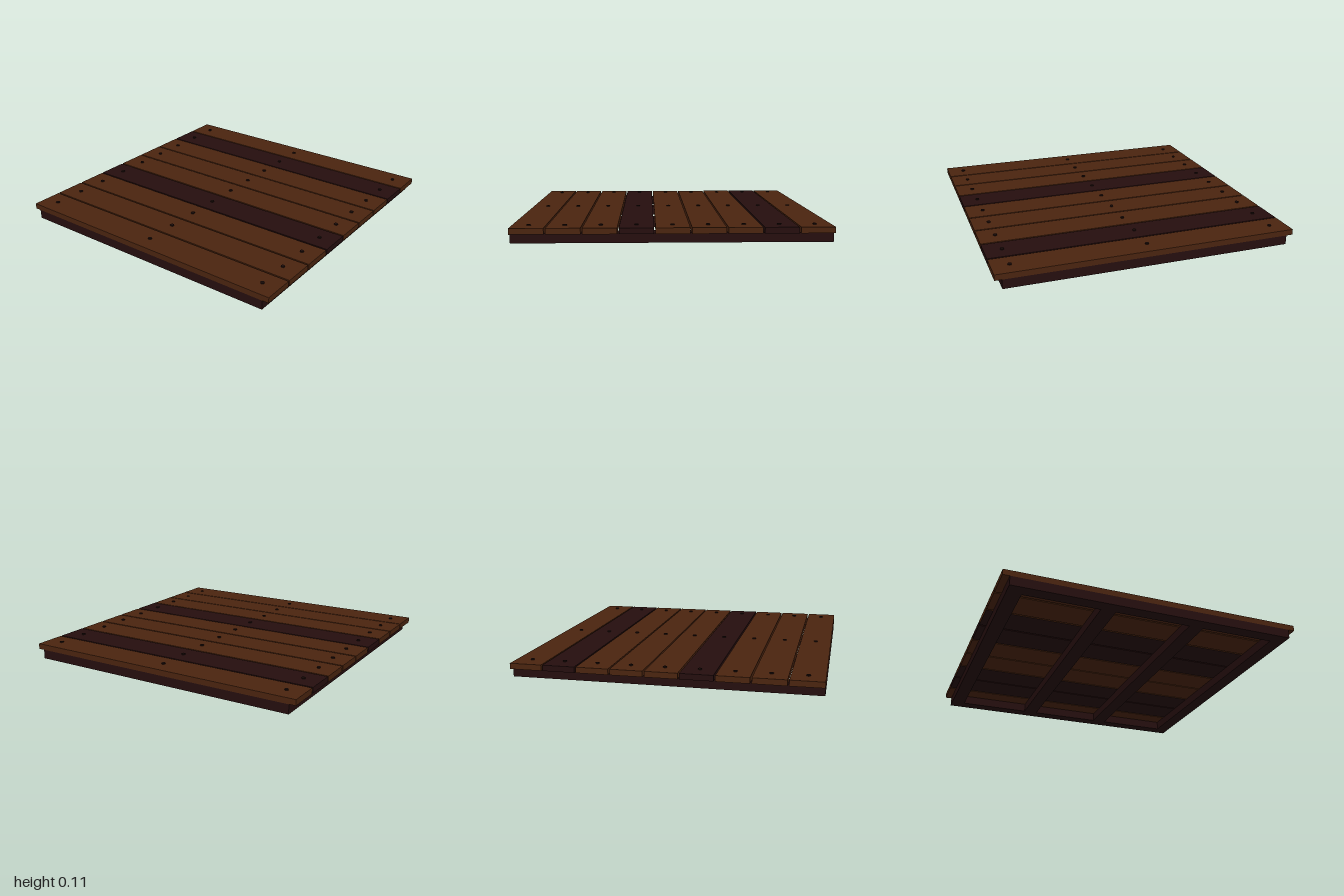
import * as THREE from 'three';

const brownWood = new THREE.MeshStandardMaterial({ color: 0x4a240f });
brownWood.name = 'brown wood';
const darkWood = new THREE.MeshStandardMaterial({ color: 0x250e0e });
darkWood.name = 'dark wood';
const screwMetal = new THREE.MeshStandardMaterial({ color: 0x1c0d0a });
screwMetal.name = 'dark screw';

const FRAME_H = 0.062, TOP = 0.1;
const PLANKS = 9, PITCH = 0.2225, PLANK_W = 0.212;

// box given by its limits along each axis
function box(name, material, [x0, x1], [y0, y1], [z0, z1]) {
  const mesh = new THREE.Mesh(new THREE.BoxGeometry(x1 - x0, y1 - y0, z1 - z0), material);
  mesh.position.set((x0 + x1) / 2, (y0 + y1) / 2, (z0 + z1) / 2);
  mesh.name = name;
  return mesh;
}

export function createModel() {
  const model = new THREE.Group();
  model.name = 'woodenDeck';

  // supporting frame: outer joists, inner joists and the two end beams
  const frame = new THREE.Group();
  frame.name = 'frame';
  const y = [0, FRAME_H];
  for (const s of [-1, 1]) {
    const outer = [0.86 * s, 0.955 * s].sort((a, b) => a - b);
    const inner = [0.255 * s, 0.355 * s].sort((a, b) => a - b);
    const end = [0.91 * s, 0.996 * s].sort((a, b) => a - b);
    frame.add(box('outerJoist', darkWood, outer, y, [-0.996, 0.996]));
    frame.add(box('innerJoist', darkWood, inner, y, [-0.91, 0.91]));
    frame.add(box('endBeam', darkWood, [-0.86, 0.86], y, end));
  }
  model.add(frame);

  // deck planks, every fourth one dark; the plank after it is dark underneath
  const planks = new THREE.Group();
  planks.name = 'planks';
  const screws = new THREE.Group();
  screws.name = 'screws';
  const screwShape = new THREE.CylinderGeometry(0.013, 0.013, 0.008, 8).toNonIndexed();
  screwShape.computeVertexNormals();
  for (let i = 0; i < PLANKS; i++) {
    const z = (i - (PLANKS - 1) / 2) * PITCH;
    const wood = i % 4 === 1 ? darkWood : brownWood;
    const underside = i % 4 === 2 ? darkWood : wood;
    const faces = [wood, wood, wood, underside, wood, wood];
    planks.add(box('plank', faces, [-1, 1], [FRAME_H, TOP], [z - PLANK_W / 2, z + PLANK_W / 2]));

    // three screw heads per plank
    for (const x of [-0.885, 0, 0.885]) {
      const screw = new THREE.Mesh(screwShape, screwMetal);
      screw.name = 'screw';
      screw.position.set(x, TOP + 0.003, z);
      screws.add(screw);
    }
  }
  model.add(planks, screws);
  return model;
}
